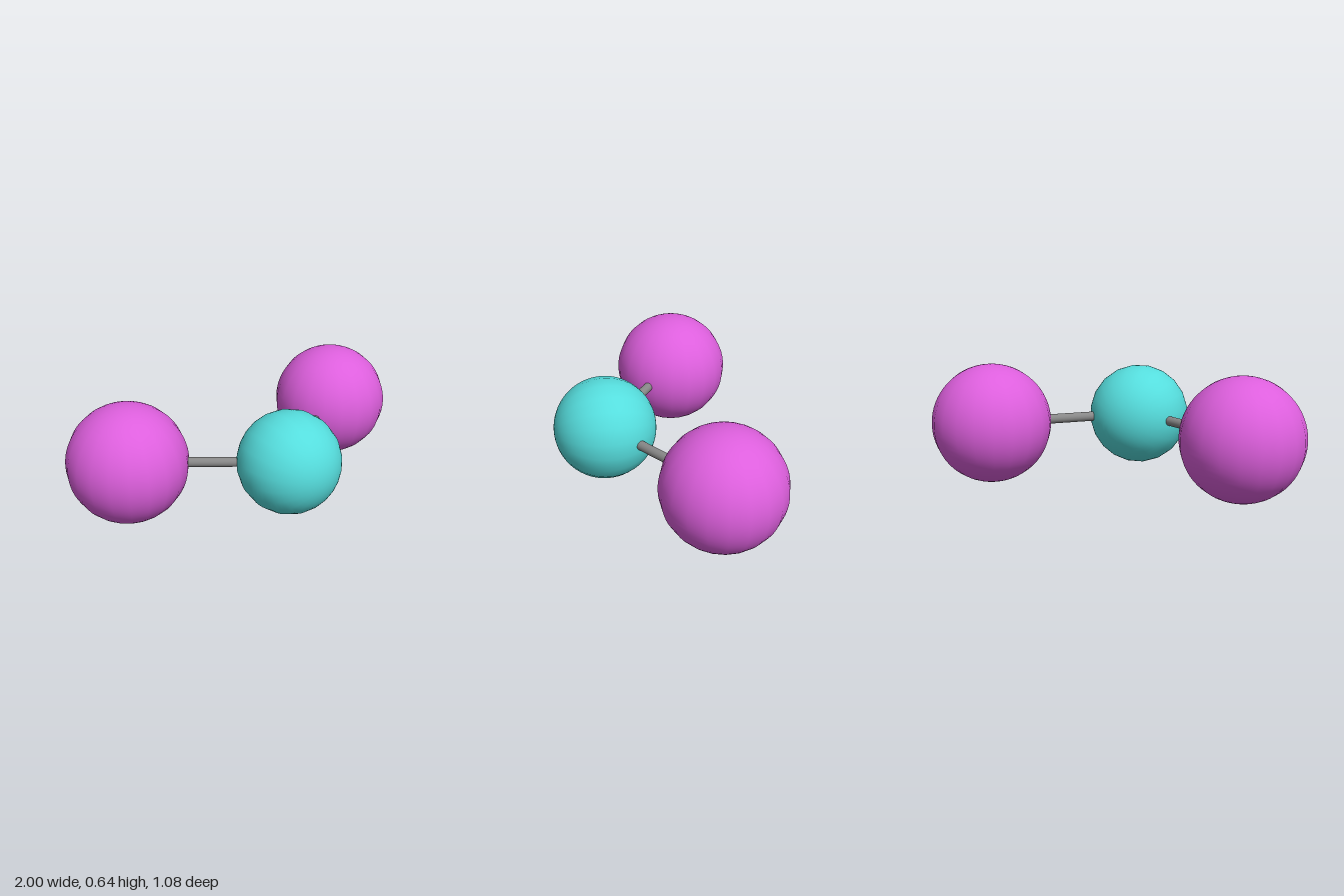
import * as THREE from 'three';

const CENTRE = new THREE.Vector3(0, 0.32, 0.265);

// Smooth ball, 20 sides round, turned half a side so flats face the axes
function ball(name, radius, color, position) {
  const geometry = new THREE.SphereGeometry(radius, 20, 32);
  geometry.rotateY(Math.PI / 20);
  const mesh = new THREE.Mesh(geometry, new THREE.MeshStandardMaterial({ color }));
  mesh.name = name;
  mesh.position.copy(position);
  return mesh;
}

// Thin rod running between two points
function rod(name, from, to) {
  const along = to.clone().sub(from);
  const mesh = new THREE.Mesh(
    new THREE.CylinderGeometry(0.026, 0.026, along.length(), 20),
    new THREE.MeshStandardMaterial({ color: 0x888888 })
  );
  mesh.name = name;
  mesh.position.copy(from).addScaledVector(along, 0.5);
  mesh.quaternion.setFromUnitVectors(new THREE.Vector3(0, 1, 0), along.normalize());
  return mesh;
}

export function createModel() {
  const model = new THREE.Group();
  model.name = 'bentMolecule';

  // Central atom, poles along z
  const central = ball('centralAtom', 0.276, 0x55dddd, CENTRE);
  central.rotation.x = Math.PI / 2;
  model.add(central);

  // Outer atoms and their bonds, mirrored left and right
  for (const [side, sign] of [['left', 1], ['right', -1]]) {
    const end = new THREE.Vector3(sign * 0.684, 0.32, -0.225);
    model.add(ball(side + 'OuterAtom', 0.32, 0xdd5fdd, end));
    model.add(rod(side + 'Bond', CENTRE, end));
  }
  return model;
}
